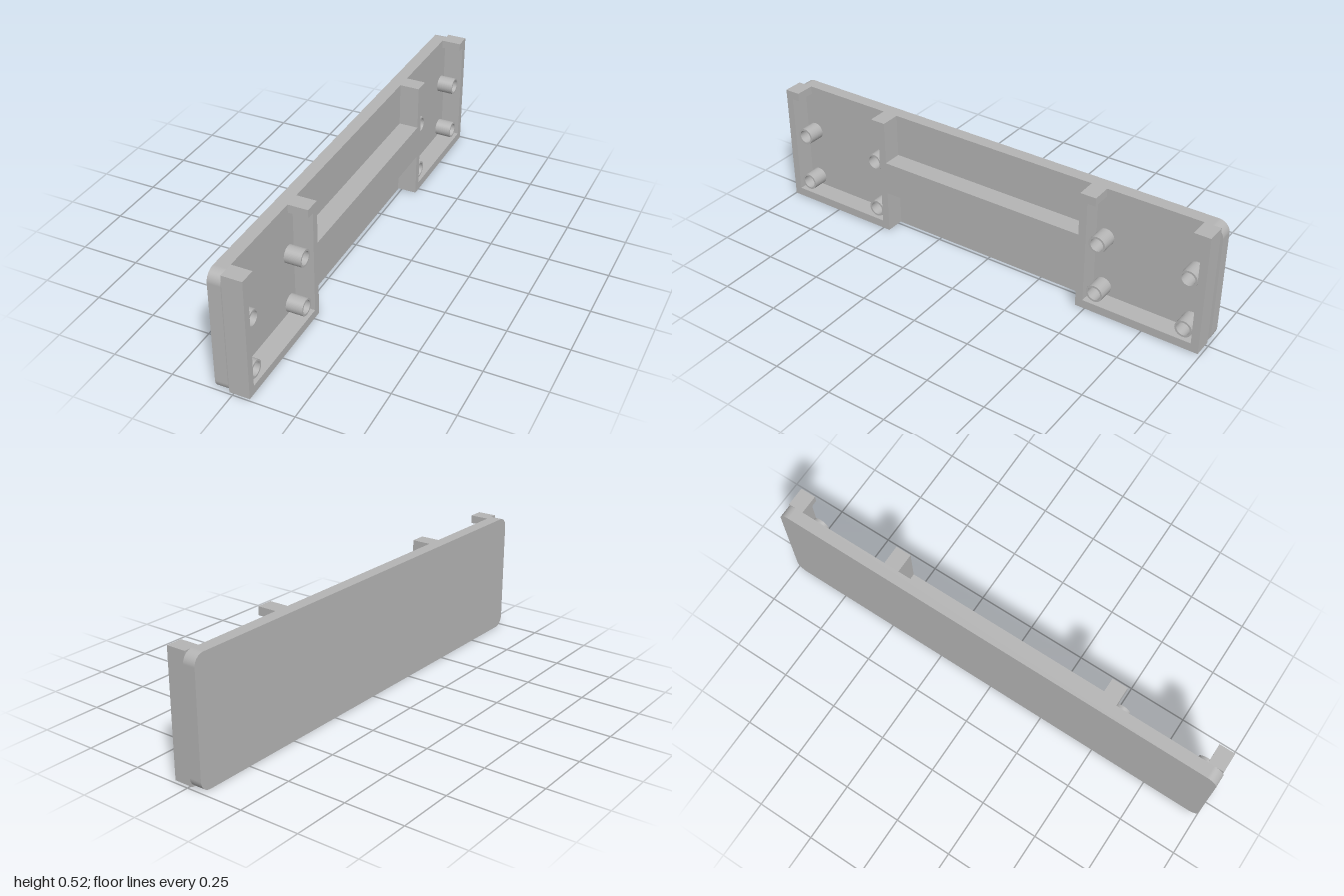
import * as THREE from 'three';

const FACE = -0.015; // inner face of the back plate
const TOP = 0.52;

// Extrudes a profile drawn in (-z, y) along +x, from x0 to x1
function extrudeX(shape, x0, x1, material, name, curveSegments = 12) {
  const geo = new THREE.ExtrudeGeometry(shape, { depth: x1 - x0, bevelEnabled: false, curveSegments });
  geo.rotateY(Math.PI / 2).translate(x0, 0, 0);
  const mesh = new THREE.Mesh(geo, material);
  mesh.name = name;
  return mesh;
}

function roundedRect(u0, u1, v0, v1, r) {
  const s = new THREE.Shape();
  s.absarc(u1 - r, v0 + r, r, -Math.PI / 2, 0);
  s.absarc(u1 - r, v1 - r, r, 0, Math.PI / 2);
  s.absarc(u0 + r, v1 - r, r, Math.PI / 2, Math.PI);
  s.absarc(u0 + r, v0 + r, r, Math.PI, Math.PI * 1.5);
  s.closePath();
  return s;
}

// U-shaped frame with an inward lip at the top of each arm
function frameShape(c) {
  const outer = 0.265, inner = 0.233, lip = 0.198, base = 0.004, floor = 0.04, lipY = 0.485;
  const half = [[outer, base], [outer, TOP], [lip, TOP], [lip, lipY], [inner, lipY], [inner, floor]];
  const mirrored = half.map(([u, v]) => [-u, v]).reverse();
  return new THREE.Shape([...half, ...mirrored].map(([u, v]) => new THREE.Vector2(c + u, v)));
}

export function createModel() {
  const group = new THREE.Group();
  const grey = new THREE.MeshStandardMaterial({ color: 0xb4b4b4 });
  grey.name = 'grey';

  // Back plate with rounded corners
  group.add(extrudeX(roundedRect(-1, 1, 0, TOP, 0.045), -0.068, FACE, grey, 'backPlate'));

  // Crossbar joining the two frames
  const bar = new THREE.Mesh(new THREE.BoxGeometry(0.083, 0.145, 0.925), grey);
  bar.position.set(FACE + 0.0415, 0.2625, 0.0025);
  bar.name = 'crossbar';
  group.add(bar);

  for (const [side, u] of [['front', -0.73], ['back', 0.725]]) {
    group.add(extrudeX(frameShape(u), FACE, 0.068, grey, side + 'Frame'));

    // Four hollow pegs inside each frame
    for (const du of [-0.191, 0.191]) {
      for (const y of [0.08, 0.308]) {
        const ring = new THREE.Shape().absarc(u + du, y, 0.036, 0, Math.PI * 2);
        ring.holes.push(new THREE.Path().absarc(u + du, y, 0.028, 0, Math.PI * 2, true));
        group.add(extrudeX(ring, FACE, 0.055, grey, side + 'Peg', 24));
      }
    }
  }
  return group;
}
